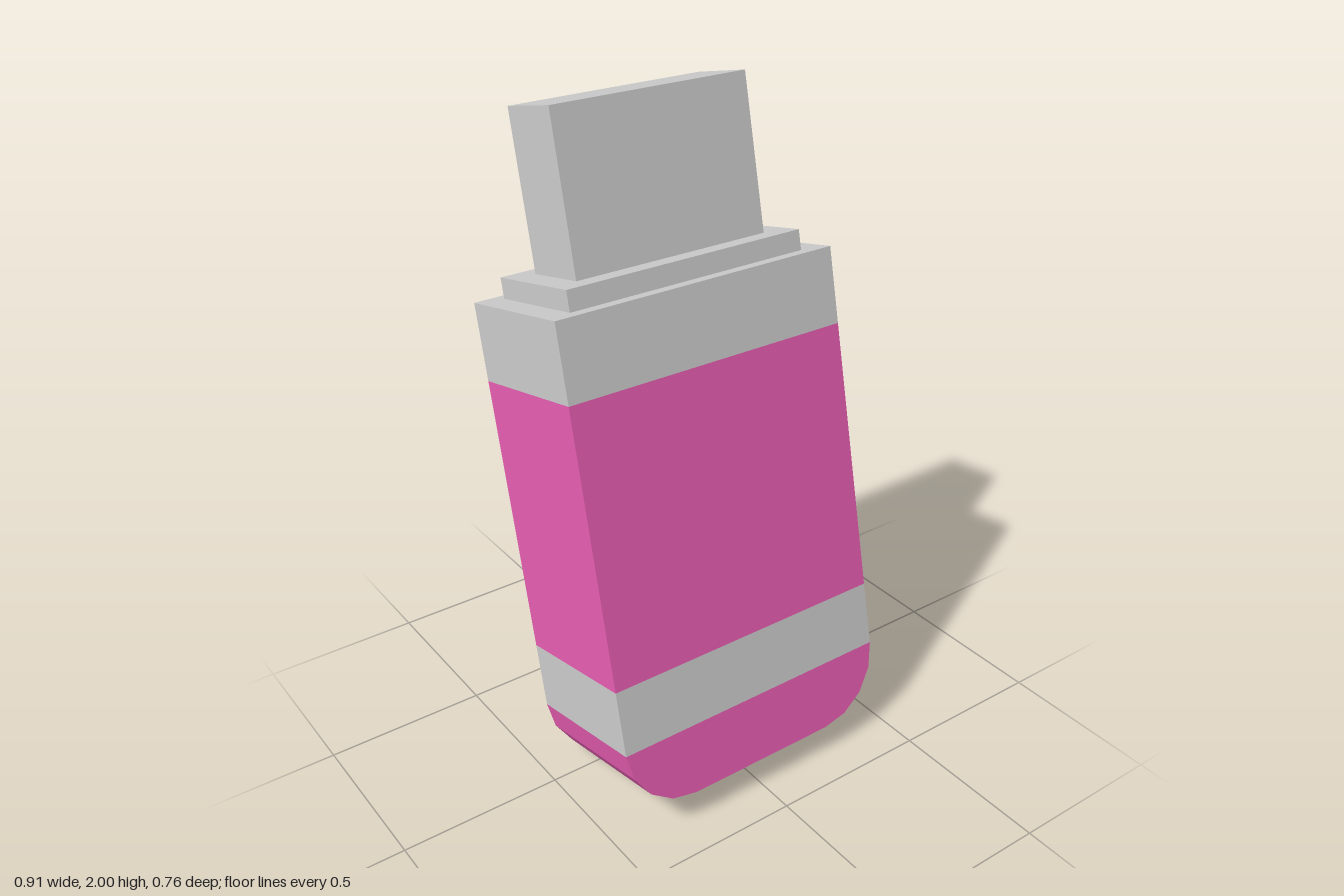
import * as THREE from 'three';

const grey = new THREE.MeshStandardMaterial({ color: 0xcccccc, flatShading: true });
const pink = new THREE.MeshStandardMaterial({ color: 0xe75db2, flatShading: true });

const HALF_W = 0.456, DEPTH = 0.449, RADIUS = 0.21;

export function createModel() {
  const model = new THREE.Group();
  model.name = 'usbStick';

  // Box spanning y0..y1 along the stick's own axis
  const block = (name, width, depth, y0, y1, material) => {
    const mesh = new THREE.Mesh(new THREE.BoxGeometry(width, y1 - y0, depth), material);
    mesh.position.y = (y0 + y1) / 2;
    mesh.name = name;
    model.add(mesh);
  };

  // Rounded end cap: two four-sided corner arcs, extruded through the depth
  const shape = new THREE.Shape();
  shape.moveTo(HALF_W, RADIUS);
  shape.lineTo(-HALF_W, RADIUS);
  for (const side of [-1, 1]) {
    for (let i = 0; i <= 4; i++) {
      const a = ((side < 0 ? i : 4 - i) / 4) * Math.PI / 2;
      if (a === 0) continue;
      shape.lineTo(side * (HALF_W - RADIUS + RADIUS * Math.cos(a)), RADIUS - RADIUS * Math.sin(a));
    }
  }
  shape.closePath();
  const capGeometry = new THREE.ExtrudeGeometry(shape, { depth: DEPTH, bevelEnabled: false });
  capGeometry.translate(0, 0, -DEPTH / 2);
  const cap = new THREE.Mesh(capGeometry, pink);
  cap.name = 'endCap';
  model.add(cap);

  // Body bands
  block('lowerBand', HALF_W * 2, DEPTH, RADIUS, 0.41, grey);
  block('casing', HALF_W * 2, DEPTH, 0.41, 1.237, pink);
  block('upperBand', HALF_W * 2, DEPTH, 1.237, 1.463, grey);

  // Stepped collar and plug
  block('collar', 0.77, 0.36, 1.463, 1.523, grey);
  block('plug', 0.626, 0.22, 1.523, 1.976, grey);

  // Lean the whole stick backwards, its rear bottom edge on the ground
  model.rotation.x = -THREE.MathUtils.degToRad(12.8);
  model.position.set(0, 0.05, 0.164);

  const root = new THREE.Group();
  root.name = 'model';
  root.add(model);
  return root;
}
